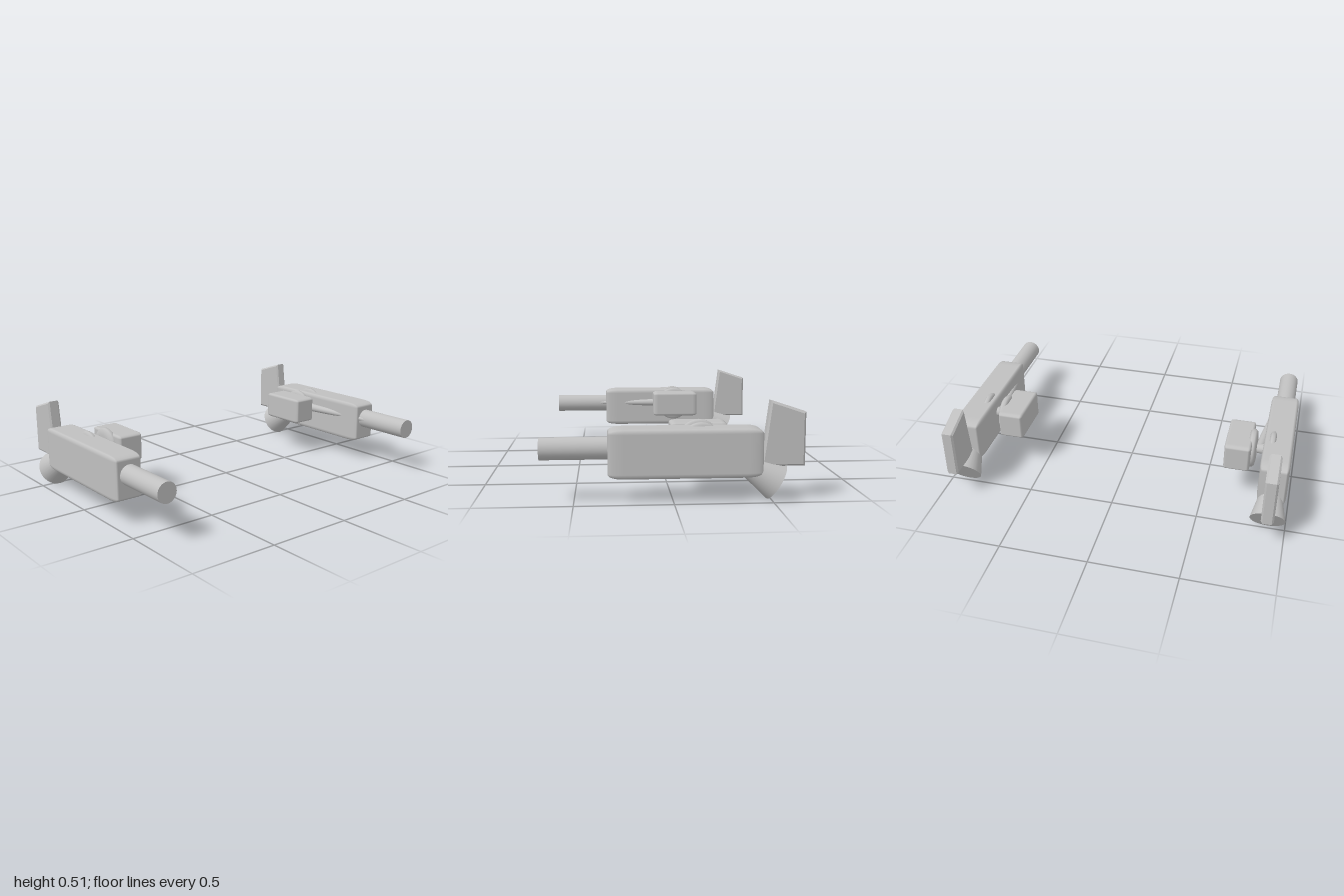
import * as THREE from 'three';
import { RoundedBoxGeometry } from 'three/addons/geometries/RoundedBoxGeometry.js';

const grey = new THREE.MeshStandardMaterial({ color: 0xc0c0c0 });
grey.name = 'light grey';

// Rounded box whose edge rounding stretches with its size
function softBox(w, h, d) {
  return new RoundedBoxGeometry(1, 1, 1, 2, 0.1).scale(w, h, d);
}

// Tapered rod running between two points
function rod(a, b, ra, rb) {
  const dir = b.clone().sub(a);
  const g = new THREE.CylinderGeometry(rb, ra, dir.length(), 32);
  g.applyQuaternion(new THREE.Quaternion().setFromUnitVectors(new THREE.Vector3(0, 1, 0), dir.normalize()));
  const mid = a.clone().add(b).multiplyScalar(0.5);
  return g.translate(mid.x, mid.y, mid.z);
}

// Round-edged disc with its axis along x
function disc(radius, width) {
  const h = width / 2;
  const profile = [[0, -h], [radius * 0.65, -h], [radius * 0.9, -h * 0.8], [radius, -h * 0.35],
    [radius, h * 0.35], [radius * 0.9, h * 0.8], [radius * 0.65, h], [0, h]];
  return new THREE.LatheGeometry(profile.map(p => new THREE.Vector2(...p)), 32).rotateZ(Math.PI / 2);
}

// Upright swept fin, outlined in (z, y) and extruded along x
function finGeometry() {
  const b = 0.01;
  const s = new THREE.Shape();
  s.moveTo(0.458, 0.186);
  s.lineTo(0.66, 0.186);
  s.lineTo(0.66, 0.444);
  s.lineTo(0.498, 0.498);
  s.closePath();
  const g = new THREE.ExtrudeGeometry(s, {
    depth: 0.05, bevelEnabled: true, bevelSize: b, bevelThickness: b, bevelSegments: 1,
  });
  return g.translate(0, 0, -0.025).rotateY(Math.PI / 2);
}

function createUnit(side) {
  const unit = new THREE.Group();
  unit.name = side > 0 ? 'leftUnit' : 'rightUnit';
  const v = (x, y, z) => new THREE.Vector3(side * x, y, z);
  const add = (name, geometry, x = 0, y = 0, z = 0) => {
    const mesh = new THREE.Mesh(geometry, grey);
    mesh.name = name;
    mesh.position.copy(v(x, y, z));
    unit.add(mesh);
  };

  // Main body and barrel
  add('body', softBox(0.165, 0.25, 0.78), 0.903, 0.252, -0.06);
  add('barrel', rod(v(0.903, 0.275, 0.25), v(0.903, 0.275, 0.67), 0.057, 0.057));

  // Rear fin and flared nozzle pointing down and back
  add('fin', finGeometry(), 0.903);
  add('nozzle', rod(v(0.9, 0.18, -0.377), v(0.9, 0.088, -0.53), 0.056, 0.099));

  // Side box on a pivot of two discs and an axle
  add('sideBox', softBox(0.15, 0.16, 0.3), 0.682, 0.295, -0.15);
  add('outerDisc', disc(0.11, 0.05), 0.757, 0.285, -0.148);
  add('innerDisc', disc(0.11, 0.045), 0.868, 0.285, -0.148);
  add('axle', rod(v(0.75, 0.287, -0.148), v(0.87, 0.287, -0.148), 0.025, 0.033));

  // Slanted brace from pivot to barrel
  add('brace', rod(v(0.797, 0.287, -0.15), v(0.862, 0.28, 0.41), 0.028, 0.01));
  return unit;
}

export function createModel() {
  const model = new THREE.Group();
  model.name = 'twinSideUnits';
  for (const side of [-1, 1]) model.add(createUnit(side));
  return model;
}
